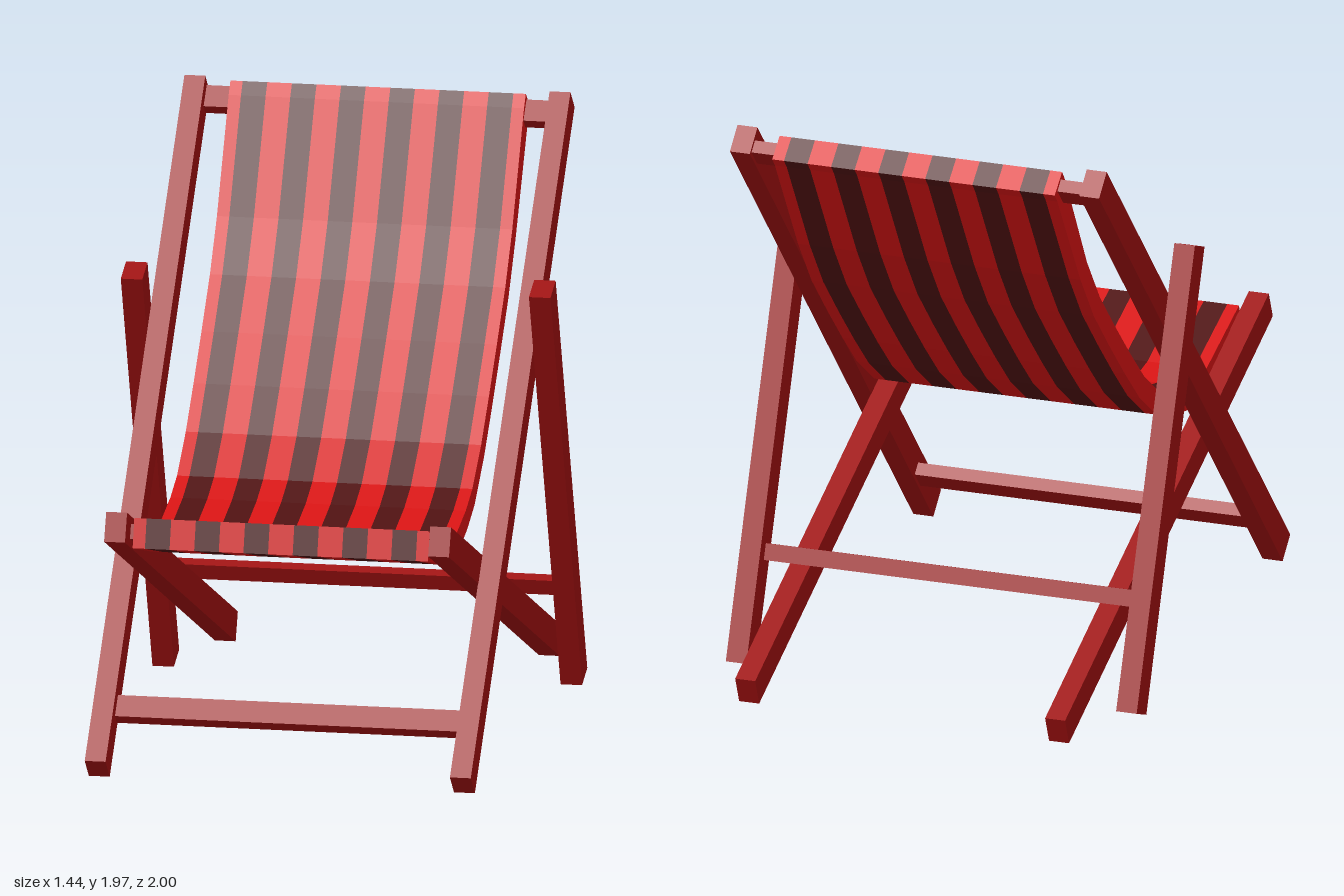
import * as THREE from 'three';

const material = (color) => new THREE.MeshStandardMaterial({ color, flatShading: true });

export function createModel() {
  const model = new THREE.Group();
  const wood = material(0xa01010);
  const brightCloth = material(0xd81414);
  const darkCloth = material(0x501212);

  // Box whose height runs from a to b, both given as [z, y]
  function beam(name, a, b, x, width, depth) {
    const dz = b[0] - a[0], dy = b[1] - a[1];
    const mesh = new THREE.Mesh(new THREE.BoxGeometry(width, Math.hypot(dz, dy), depth), wood);
    mesh.position.set(x, (a[1] + b[1]) / 2, (a[0] + b[0]) / 2);
    mesh.rotation.x = Math.atan2(dz, dy);
    mesh.name = name;
    model.add(mesh);
  }

  // Crossbar centred at [z, y], tilted to lie along the rail a-b
  function crossbar(name, [z, y], [a, b], span, height, depth) {
    const mesh = new THREE.Mesh(new THREE.BoxGeometry(span, height, depth), wood);
    mesh.position.set(0, y, z);
    mesh.rotation.x = Math.atan2(b[0] - a[0], b[1] - a[1]);
    mesh.name = name;
    model.add(mesh);
  }

  // Three pairs of rails, side by side
  const back = [[0.945, 0.037], [-0.823, 1.936]];
  const seat = [[-0.979, 0.059], [0.984, 0.869]];
  const prop = [[-0.652, 0.024], [-0.091, 1.473]];
  for (const [side, s] of [['left', 1], ['right', -1]]) {
    beam(side + 'BackRail', ...back, s * 0.612, 0.07, 0.1);
    beam(side + 'SeatRail', ...seat, s * 0.543, 0.07, 0.1);
    beam(side + 'PropRail', ...prop, s * 0.684, 0.072, 0.1);
  }

  // Crossbars joining each pair
  crossbar('topCrossbar', [-0.8, 1.888], back, 1.17, 0.08, 0.045);
  crossbar('frontFootCrossbar', [0.772, 0.2], back, 1.17, 0.08, 0.045);
  crossbar('seatFrontCrossbar', [0.868, 0.822], seat, 1.03, 0.08, 0.05);
  crossbar('propCrossbar', [-0.503, 0.368], prop, 1.31, 0.056, 0.037);

  // Sling centre line from the front edge to the top: [z, y, half thickness]
  const path = [
    [0.921, 0.836, 0.05], [0.6, 0.735, 0.038], [0.455, 0.718, 0.037], [0.255, 0.763, 0.037],
    [0.13, 0.812, 0.037], [-0.03, 0.927, 0.037], [-0.17, 1.06, 0.037], [-0.312, 1.203, 0.037],
    [-0.463, 1.362, 0.037], [-0.59, 1.533, 0.037], [-0.805, 1.89, 0.045], [-0.834, 1.926, 0.046],
  ];
  const upper = [], lower = [];
  path.forEach(([z, y, h], i) => {
    const p = path[Math.max(i - 1, 0)], q = path[Math.min(i + 1, path.length - 1)];
    const dz = q[0] - p[0], dy = q[1] - p[1], len = Math.hypot(dz, dy);
    const nz = dy / len * h, ny = -dz / len * h;
    upper.push(new THREE.Vector2(-(z + nz), y + ny));
    lower.push(new THREE.Vector2(-(z - nz), y - ny));
  });
  const profile = new THREE.Shape([...upper, ...lower.reverse()]);

  // Striped sling: full stripes with a half-width bright one at each edge
  const sling = new THREE.Group();
  sling.name = 'sling';
  const stripe = 0.99 / 12;
  for (let i = 0; i <= 12; i++) {
    const x0 = Math.max(-0.495, -0.495 + (i - 0.5) * stripe);
    const x1 = Math.min(0.495, -0.495 + (i + 0.5) * stripe);
    const geometry = new THREE.ExtrudeGeometry(profile, { depth: x1 - x0, bevelEnabled: false });
    geometry.rotateY(Math.PI / 2); // profile x becomes -z, depth becomes x
    const mesh = new THREE.Mesh(geometry, i % 2 ? darkCloth : brightCloth);
    mesh.position.x = x0;
    mesh.name = i % 2 ? 'darkStripe' : 'brightStripe';
    sling.add(mesh);
  }
  model.add(sling);
  return model;
}
